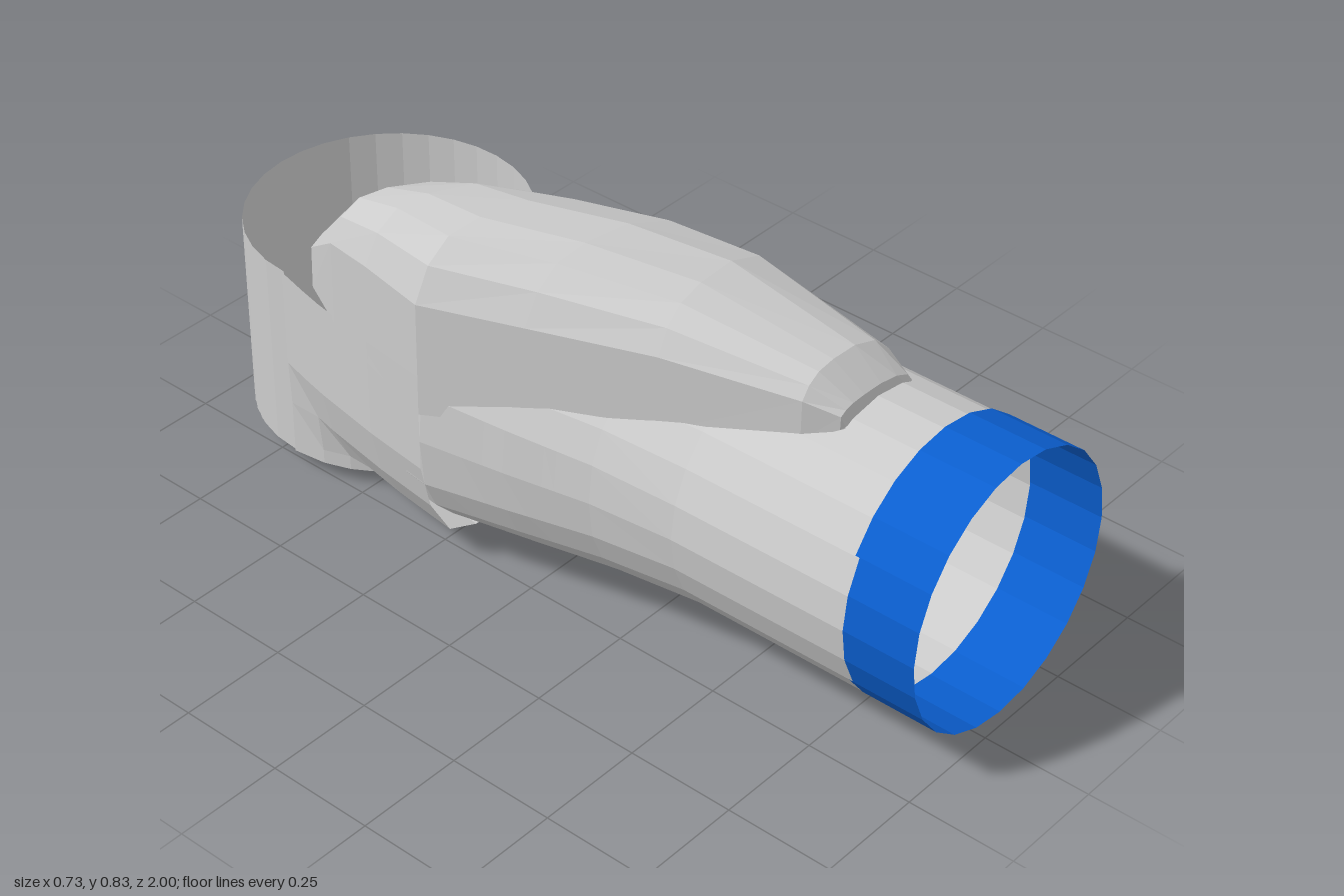
import * as THREE from 'three';

const grey = new THREE.MeshStandardMaterial({ color: 0xcccccc, flatShading: true, side: THREE.DoubleSide });
const blue = new THREE.MeshStandardMaterial({ color: 0x0b5fd0, flatShading: true, side: THREE.DoubleSide });

const AXIS_X = 0.045, AXIS_Y = 0.35, RADIUS = 0.31;      // pipe
const CUP_X = 0.045, CUP_Z = -0.68, CUP_R = 0.32, RIM = 0.515; // cup

// Skin a list of equally long cross-sections of [x, y, z] points
function loft(sections) {
  const n = sections[0].length, index = [];
  for (let i = 0; i < sections.length - 1; i++) {
    for (let j = 0; j < n - 1; j++) {
      const a = i * n + j, b = a + n;
      index.push(a, b, a + 1, b, b + 1, a + 1);
    }
  }
  const geometry = new THREE.BufferGeometry();
  geometry.setAttribute('position', new THREE.Float32BufferAttribute(sections.flat(2), 3));
  geometry.setIndex(index);
  geometry.computeVertexNormals();
  return geometry;
}

// Piecewise linear lookup in [key, value] pairs with falling keys
function lookup(table, z) {
  for (let i = 1; i < table.length; i++) {
    const [z0, v0] = table[i - 1], [z1, v1] = table[i];
    if (z >= z1) return v0 + (v1 - v0) * Math.min(1, Math.max(0, (z0 - z) / (z0 - z1)));
  }
  return table[table.length - 1][1];
}

// Outline of the body's bulging side and of its slanted cut, along z
const leftSide = [[1, -0.265], [0.4, -0.27], [0.2, -0.29], [0, -0.33], [-0.2, -0.365],
  [-0.36, -0.345], [-0.56, -0.31], [-0.7, -0.275]];
const cutSide = [[1, 0.36], [0.12, 0.36], [0.09, 0.34], [-0.26, 0.1], [-1, 0.1]];

// Round pipe that swells on one side and is sliced flat on the other
function pipeSection(z) {
  const ring = [], steps = 24, left = lookup(leftSide, z), cut = lookup(cutSide, z);
  const power = lookup([[0.4, 1], [-0.2, 0.72], [-1, 0.72]], z);
  for (let i = 0; i <= steps; i++) {
    const t = (i / steps) * Math.PI * 2, c = Math.cos(t), s = Math.sin(t);
    const p = c < 0 ? power : 1;
    const reach = c < 0 ? AXIS_X - left : 0.302;
    const x = AXIS_X + Math.sign(c) * Math.abs(c) ** p * reach;
    const y = AXIS_Y + Math.sign(s) * Math.abs(s) ** p * 0.306;
    ring.push([Math.min(x, cut), y, z]);
  }
  return ring;
}

// Open trough leading from the pipe into the cup
function neckSection(z) {
  const left = lookup(leftSide, z), dz = z - CUP_Z;
  const right = dz > 0.315 ? 0.1 : CUP_X - Math.sqrt(CUP_R ** 2 - dz ** 2);
  return [[0, RIM], [0, 0.28], [0.025, 0.17], [0.08, 0.075], [0.16, 0.042], [1, 0.04]]
    .map(([d, y]) => [Math.min(left + d, right), y, z]);
}

// Each hood rib: left x, z, base y; right x, z, base y; crown y
const hoodRibs = [
  [-0.06, 0.66, 0.635, 0.15, 0.66, 0.635, 0.64],
  [-0.07, 0.655, 0.635, 0.16, 0.655, 0.63, 0.68],
  [-0.11, 0.59, 0.6, 0.2, 0.58, 0.6, 0.74],
  [-0.2, 0.3, 0.53, 0.28, 0.24, 0.55, 0.8],
  [-0.29, 0.03, 0.46, 0.25, 0.06, 0.58, 0.823],
  [-0.365, -0.2, 0.42, 0.17, -0.12, 0.61, 0.83],
  [-0.345, -0.36, 0.46, 0.115, -0.22, 0.56, 0.828],
  [-0.325, -0.48, 0.5, 0.05, -0.31, 0.54, 0.8],
  [-0.3, -0.565, 0.54, 0, -0.36, 0.54, 0.69],
  [-0.3, -0.565, 0.54, 0, -0.36, 0.54, 0.54],
];
const hoodArch = [[0, 0], [0.005, 0.66], [0.07, 0.85], [0.17, 0.97], [0.32, 1],
  [0.55, 0.96], [0.77, 0.78], [0.93, 0.45], [1, 0]];

function hoodSection([lx, lz, ly, rx, rz, ry, crown]) {
  const mix = THREE.MathUtils.lerp;
  return hoodArch.map(([u, h]) => [mix(lx, rx, u), mix(mix(ly, ry, u), crown, h), mix(lz, rz, u)]);
}

export function createModel() {
  const model = new THREE.Group();
  const add = (name, geometry, material = grey) => {
    const mesh = new THREE.Mesh(geometry, material);
    mesh.name = name;
    model.add(mesh);
    return mesh;
  };

  // Coloured band round the open mouth
  const collar = add('collar', new THREE.CylinderGeometry(RADIUS, RADIUS, 0.18, 24, 1, true), blue);
  collar.rotation.x = Math.PI / 2;
  collar.position.set(AXIS_X, AXIS_Y, 0.91);

  // Pipe body
  const pipeZ = [0.83, 0.6, 0.4, 0.2, 0.12, 0.09, 0.05, 0, -0.05, -0.1, -0.15, -0.2, -0.26];
  add('pipeBody', loft(pipeZ.map(pipeSection)));

  // Neck trough and its short inner side wall
  const neckZ = [-0.2, -0.26, -0.31, -0.365, -0.38, -0.42, -0.48, -0.54, -0.6, -0.68];
  add('neck', loft(neckZ.map(neckSection)));
  add('neckSideWall', loft([-0.26, -0.365].map(z => [[0.1, 0.04, z], [0.1, RIM, z]])));

  // Cup wall, open towards the neck, and its rounded floor
  const start = Math.asin((0.1 - CUP_X) / CUP_R);
  const wallHeight = RIM - 0.045;
  const wall = add('cupWall', new THREE.CylinderGeometry(
    CUP_R, CUP_R, wallHeight, 24, 1, true, start, Math.PI * 1.5 - start));
  wall.position.set(CUP_X, 0.045 + wallHeight / 2, CUP_Z);
  const floorProfile = [[0, 0], [0.18, 0.002], [0.26, 0.016], [CUP_R, 0.045]]
    .map(([r, y]) => new THREE.Vector2(r, y));
  const floor = add('cupFloor', new THREE.LatheGeometry(floorProfile, 28));
  floor.position.set(CUP_X, 0, CUP_Z);

  // Raised hood over the pipe
  add('hood', loft(hoodRibs.map(hoodSection)));

  return model;
}
